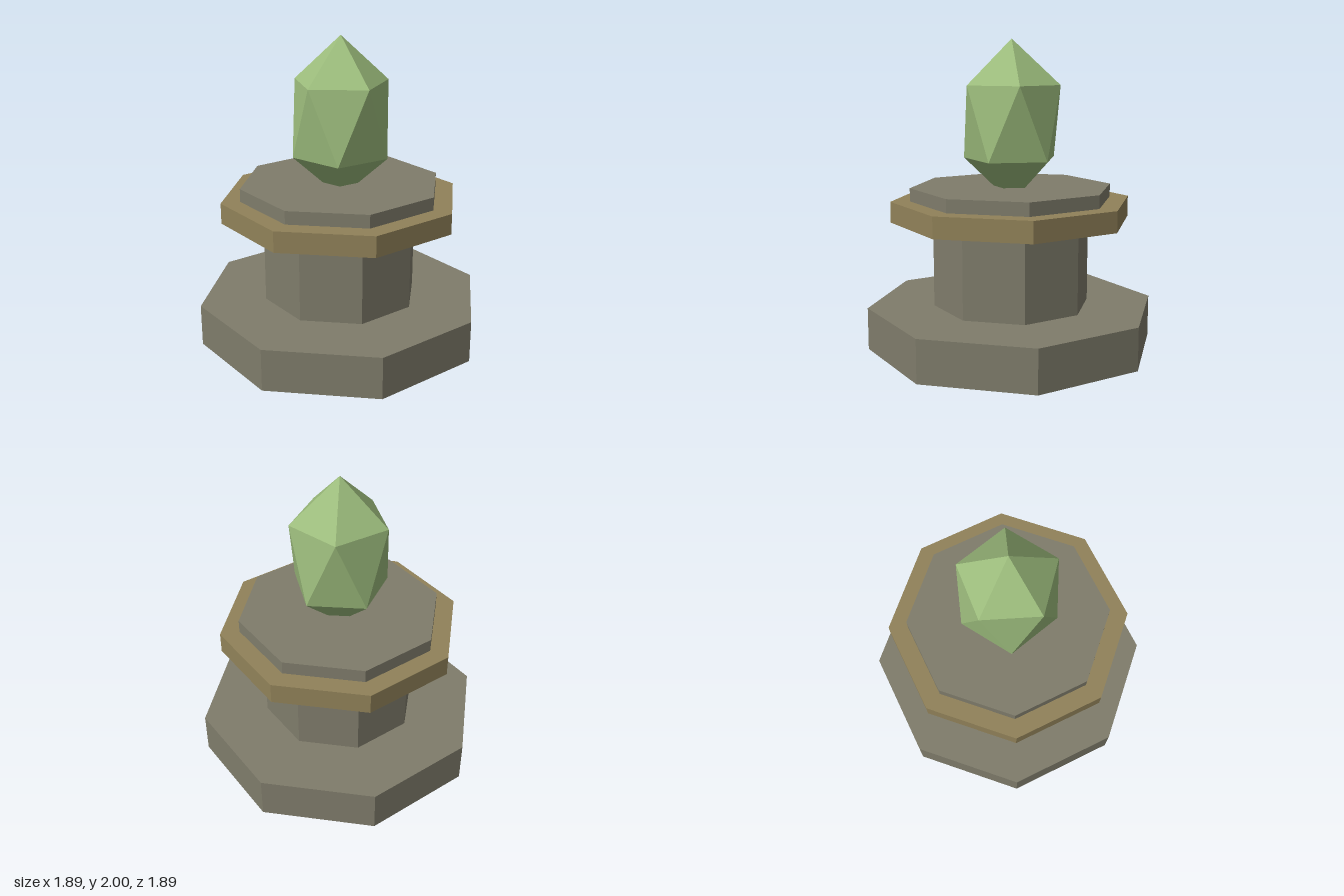
import * as THREE from 'three';

export function createModel() {
  const model = new THREE.Group();
  const material = (name, color) => {
    const m = new THREE.MeshStandardMaterial({ color, flatShading: true });
    m.name = name;
    return m;
  };
  const stone = material('stone', 0x7f7c6b);
  const bronze = material('bronze', 0x918259);
  const crystalGreen = material('crystal green', 0x9cbc7c);

  // Stacked octagonal pedestal, corners on the x and z axes
  const tiers = [
    ['base', 0.945, 0, 0.275, stone],
    ['column', 0.513, 0.275, 0.835, stone],
    ['collar', 0.785, 0.835, 0.97, bronze],
    ['topSlab', 0.66, 0.97, 1.055, stone],
  ];
  for (const [name, radius, y0, y1, mat] of tiers) {
    const tier = new THREE.Mesh(new THREE.CylinderGeometry(radius, radius, y1 - y0, 8), mat);
    tier.name = name;
    tier.position.y = (y0 + y1) / 2;
    model.add(tier);
  }

  // Crystal: icosahedron stood on a corner and stretched upward, its tip sunk in the slab
  const golden = (1 + Math.sqrt(5)) / 2;
  const gem = new THREE.IcosahedronGeometry(0.352, 0);
  gem.rotateX(-Math.atan(golden));
  gem.rotateY(Math.PI / 2);
  gem.scale(1, 1.5, 1);
  gem.computeVertexNormals();
  const crystal = new THREE.Mesh(gem, crystalGreen);
  crystal.name = 'crystal';
  crystal.position.y = 1.472;
  model.add(crystal);

  return model;
}
